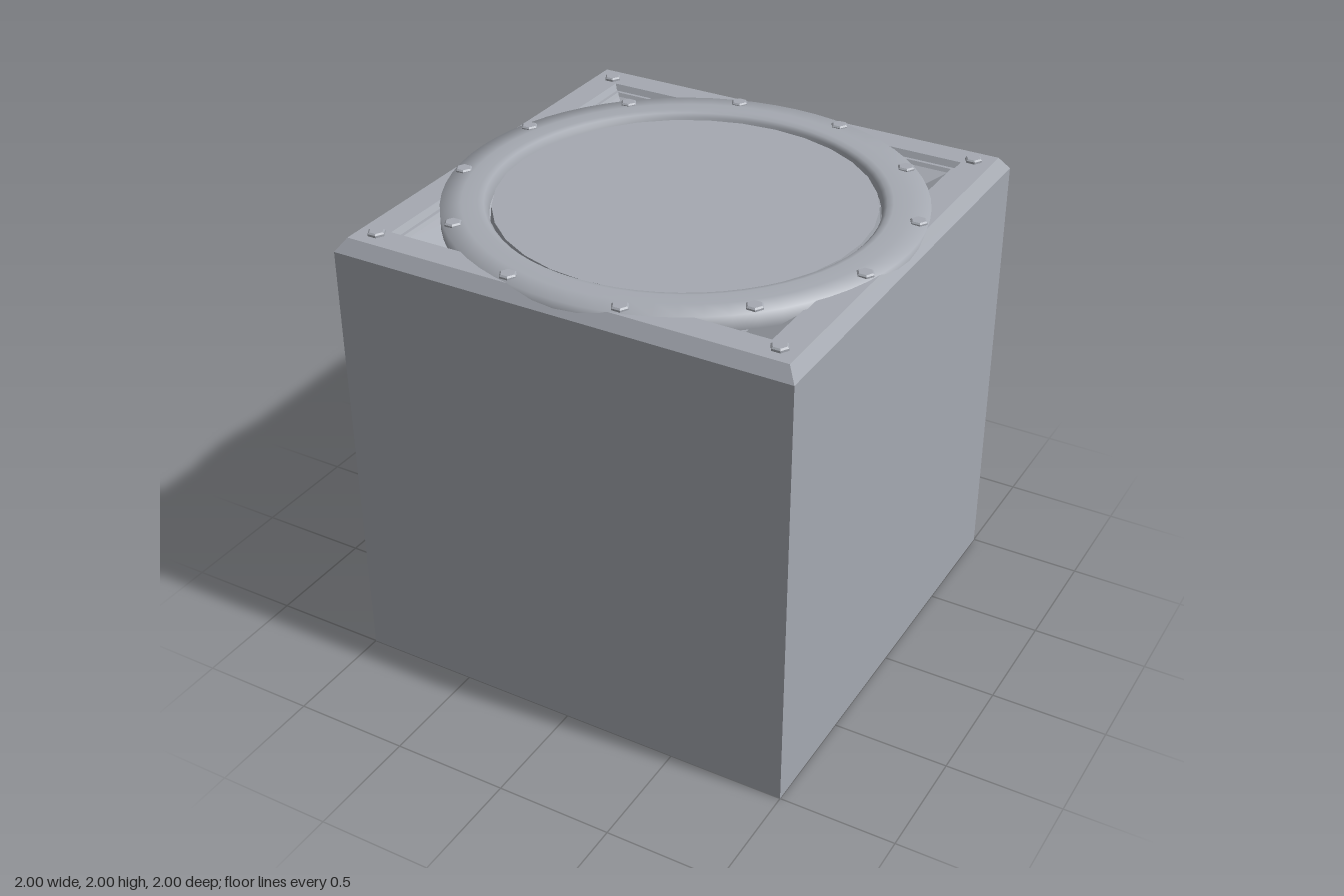
import * as THREE from 'three';

export function createModel() {
  const group = new THREE.Group();
  const steel = new THREE.MeshStandardMaterial({ color: 0xa5a9b1 });
  steel.name = 'steel grey';

  const add = (name, geometry, x = 0, y = 0, z = 0) => {
    const mesh = new THREE.Mesh(geometry, steel);
    mesh.name = name;
    mesh.position.set(x, y, z);
    group.add(mesh);
    return mesh;
  };
  const vectors = (points, scale = 1) => points.map(([r, y]) => new THREE.Vector2(r * scale, y));
  const faceted = (geometry) => {
    const flat = geometry.toNonIndexed();
    flat.computeVertexNormals();
    return flat;
  };

  // Square body: half-width and height pairs, from the base over the bevel into the stepped recess
  const bodyProfile = [
    [0, 0], [1, 0], [1, 1.93], [0.96, 1.985], [0.84, 1.985], [0.825, 1.96],
    [0.81, 1.96], [0.8, 1.945], [0.6, 1.83], [0, 1.83],
  ];
  add('body', faceted(new THREE.LatheGeometry(vectors(bodyProfile, Math.SQRT2), 4, Math.PI / 4)));

  // Round clamping ring with a softly rounded lip
  const ringProfile = [
    [0.985, 1.92], [0.985, 1.986], [0.9, 1.992], [0.835, 1.996],
    [0.81, 1.99], [0.795, 1.975], [0.79, 1.94],
  ];
  add('ring', new THREE.LatheGeometry(vectors(ringProfile), 64));

  // Flat disc inside the ring, with a narrow lip around it
  add('disc', faceted(new THREE.CylinderGeometry(0.78, 0.795, 0.14, 32)), 0, 1.9, 0);

  // Hexagonal bolts with a chamfered top
  const boltProfile = [[0.037, -0.02], [0.037, 0.008], [0.03, 0.014], [0, 0.014]];
  const boltGeometry = faceted(new THREE.LatheGeometry(vectors(boltProfile), 6, Math.PI / 6));
  for (let i = 0; i < 12; i++) {
    const angle = Math.PI / 12 + i * Math.PI / 6;
    add('ringBolt', boltGeometry, 0.945 * Math.cos(angle), 1.986, 0.945 * Math.sin(angle));
  }
  for (const x of [-0.88, 0.88]) {
    for (const z of [-0.88, 0.88]) add('cornerBolt', boltGeometry, x, 1.986, z);
  }

  return group;
}
